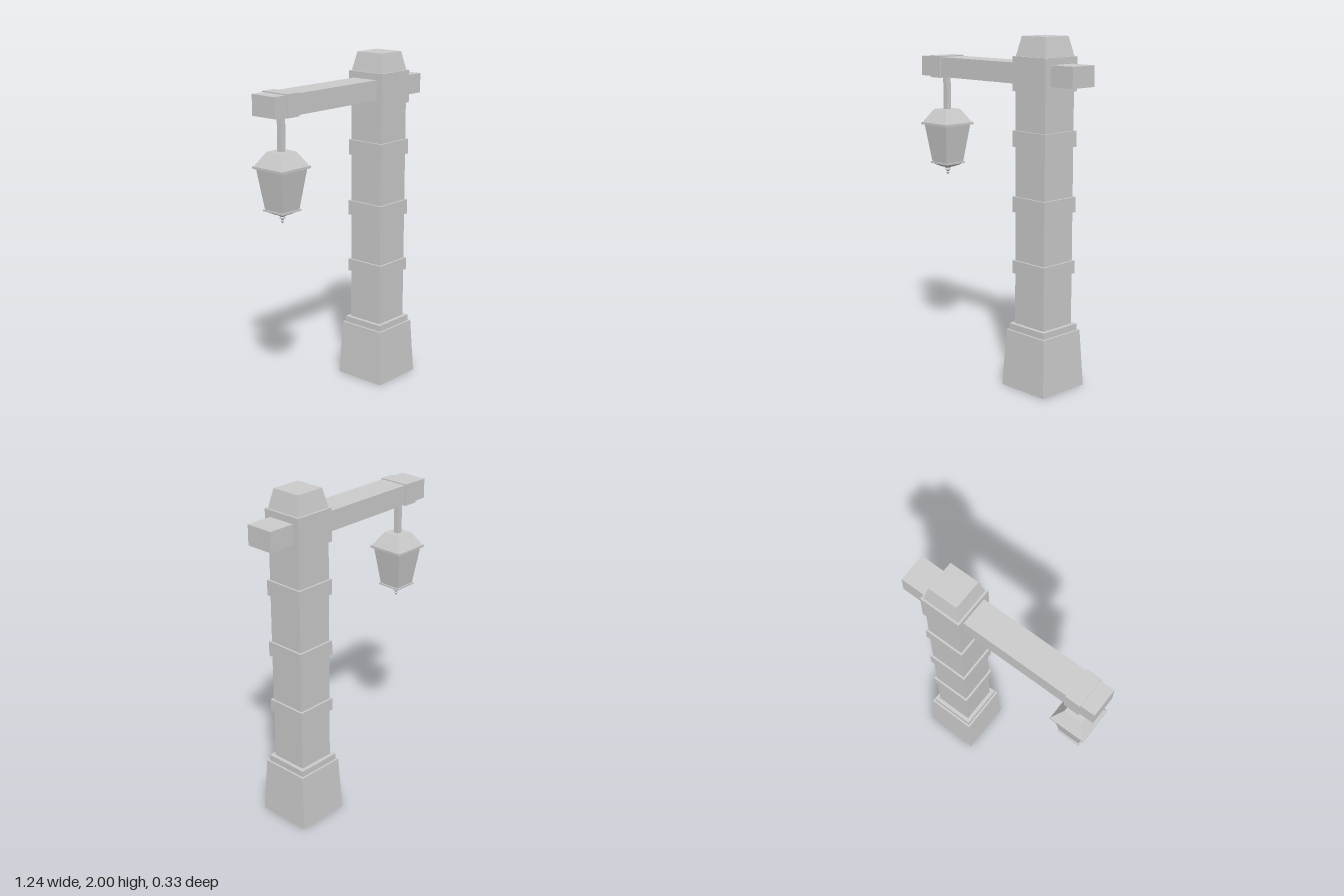
import * as THREE from 'three';

const material = new THREE.MeshStandardMaterial({ color: 0xcccccc, flatShading: true });

// Square block from y0 to y1, with half-widths h0 (bottom) and h1 (top)
function block(parent, name, y0, y1, h0, h1 = h0) {
  const geo = new THREE.BoxGeometry(2, y1 - y0, 2);
  const pos = geo.attributes.position;
  for (let i = 0; i < pos.count; i++) {
    const h = pos.getY(i) < 0 ? h0 : h1;
    pos.setX(i, pos.getX(i) * h);
    pos.setZ(i, pos.getZ(i) * h);
  }
  geo.computeVertexNormals();
  const mesh = new THREE.Mesh(geo, material);
  mesh.name = name;
  mesh.position.y = (y0 + y1) / 2;
  parent.add(mesh);
}

function bar(parent, name, x0, x1, y0, y1, halfDepth) {
  const mesh = new THREE.Mesh(new THREE.BoxGeometry(x1 - x0, y1 - y0, halfDepth * 2), material);
  mesh.name = name;
  mesh.position.set((x0 + x1) / 2, (y0 + y1) / 2, 0);
  parent.add(mesh);
}

export function createModel() {
  const model = new THREE.Group();
  model.name = 'lampPost';

  // Post: tapered plinth, shaft, bands, head and cap
  const post = new THREE.Group();
  post.name = 'post';
  post.position.x = 0.33;
  model.add(post);
  block(post, 'plinth', 0, 0.333, 0.165, 0.148);
  block(post, 'plinthStep', 0.333, 0.37, 0.136);
  block(post, 'shaft', 0.37, 1.7, 0.113);
  for (const [y0, y1] of [[0.668, 0.742], [1.022, 1.11], [1.392, 1.482]]) {
    block(post, 'band', y0, y1, 0.125);
  }
  block(post, 'head', 1.7, 1.89, 0.125);
  block(post, 'cap', 1.89, 2, 0.113, 0.09);

  // Crossbeam and the collar that carries the lantern
  bar(model, 'beam', -0.62, 0.615, 1.736, 1.852, 0.085);
  bar(model, 'beamCollar', -0.535, -0.445, 1.73, 1.858, 0.093);

  // Hanging lantern
  const lantern = new THREE.Group();
  lantern.name = 'lantern';
  lantern.position.x = -0.49;
  model.add(lantern);
  block(lantern, 'hangerRod', 1.53, 1.735, 0.016);
  block(lantern, 'lanternRoof', 1.455, 1.535, 0.106, 0.056);
  block(lantern, 'lanternBrim', 1.441, 1.455, 0.112);
  block(lantern, 'lanternBody', 1.21, 1.441, 0.066, 0.098);
  block(lantern, 'lanternFloor', 1.204, 1.213, 0.074);
  block(lantern, 'floorTaper', 1.184, 1.204, 0.03, 0.068);

  // Turned finial under the lantern
  const profile = [[0, 1.132], [0.01, 1.147], [0.005, 1.155], [0.016, 1.163],
    [0.016, 1.169], [0.01, 1.173], [0.024, 1.18], [0.024, 1.188]];
  const finial = new THREE.Mesh(
    new THREE.LatheGeometry(profile.map(([r, y]) => new THREE.Vector2(r, y)), 8), material);
  finial.name = 'finial';
  lantern.add(finial);

  return model;
}
